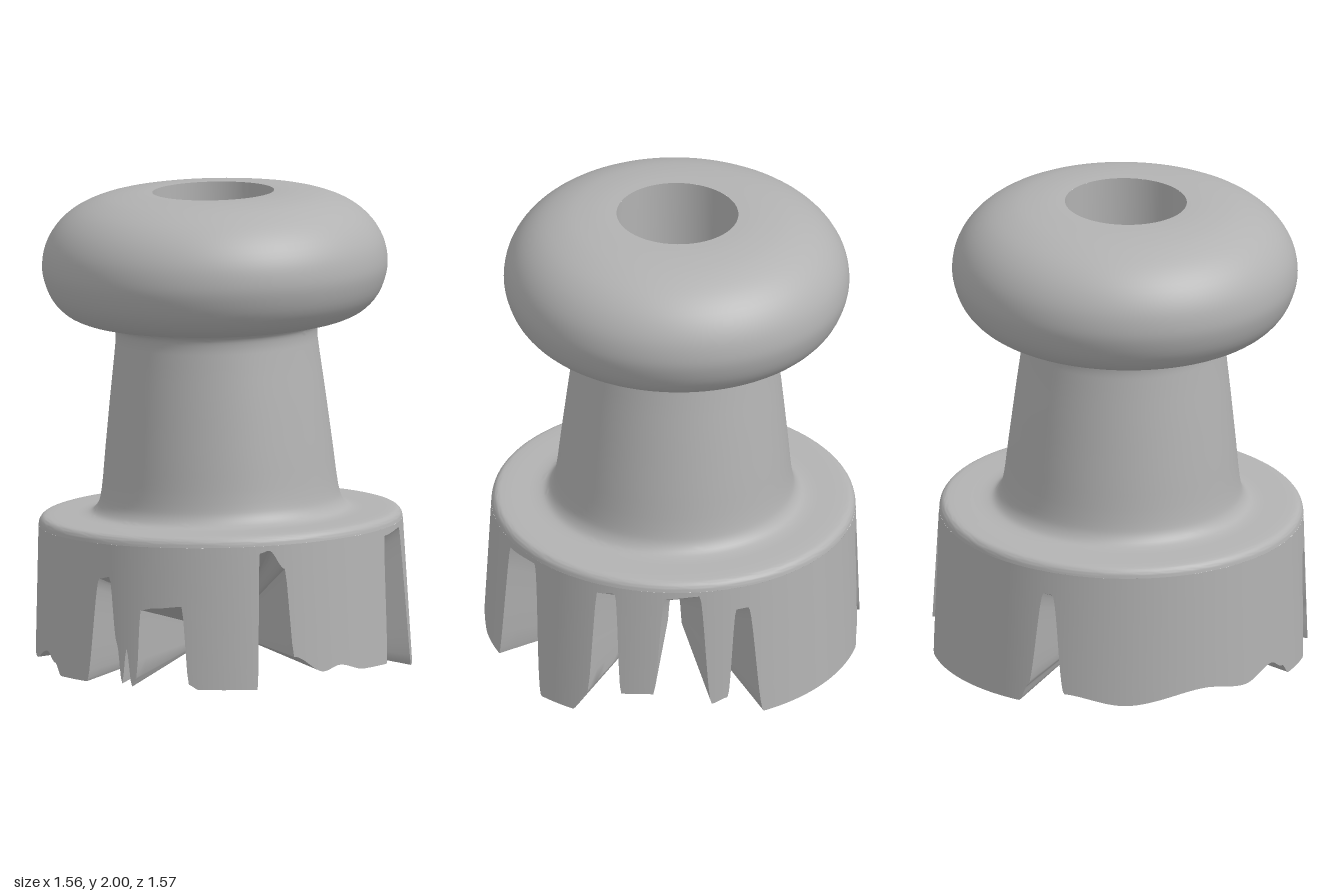
import * as THREE from 'three';
import { toCreasedNormals } from 'three/addons/utils/BufferGeometryUtils.js';

const grey = new THREE.MeshStandardMaterial({ color: 0xb2b2b2 });
grey.name = 'plain grey';

// Height of the toothed lower edge by angle: [degrees from the front towards +x, height]
const EDGE = [
  [0, 0.34], [9, 0.35], [11, 0.02], [14, 0], [32, 0], [34, 0.57], [37, 0.58], [42, 0.5], [44, 0.13],
  [54, 0.06], [60, 0.08], [70, 0.05], [82, 0.05], [85.5, 0.57], [99, 0.58], [105, 0], [117, 0],
  [122, 0.1], [124, 0.56], [130, 0.57], [133, 0.12], [143, 0.13], [146, 0.57], [157, 0.58], [161, 0.08],
  [166, 0.1], [169, 0.5], [173, 0.5], [178, 0], [226, 0], [229, 0.08], [233, 0.5], [236, 0.5],
  [241, 0.06], [260, 0.02], [285, 0.07], [300, 0.04], [312, 0.09], [318, 0.05], [322, 0], [335, 0],
  [340, 0.45], [344, 0.46], [347, 0.18], [349, 0.01], [350.5, 0.16], [352.5, 0], [354, 0.04],
  [355.5, 0.33], [360, 0.34],
];

function edgeHeight(deg) {
  const d = ((deg % 360) + 360) % 360;
  const i = Math.max(1, EDGE.findIndex((e) => e[0] >= d));
  const [a0, h0] = EDGE[i - 1];
  const [a1, h1] = EDGE[i];
  return THREE.MathUtils.lerp(h0, h1, THREE.MathUtils.smoothstep(d, a0, a1));
}

const baseRadius = (y) => 0.788 - 0.043 * y;

// The whole knob leans slightly, while the tooth tips stay on the ground
function lean(geo) {
  const p = geo.attributes.position;
  for (let i = 0; i < p.count; i++) {
    const x = p.getX(i), y = p.getY(i), z = p.getZ(i);
    const f = Math.min(1, Math.max(0, y / 0.6));
    p.setXYZ(i, x - 0.02 * y, y + f * (0.02 * x - 0.01 * z), z + 0.01 * y);
  }
  return geo;
}

function part(name, geo, crease) {
  geo.deleteAttribute('normal');
  geo.deleteAttribute('uv');
  const mesh = new THREE.Mesh(toCreasedNormals(lean(geo), crease), grey);
  mesh.name = name;
  return mesh;
}

const lathe = (pts, n) => new THREE.LatheGeometry(pts.map(([r, y]) => new THREE.Vector2(r, y)), n);

// Base: a lathe whose underside is cut by radial grooves that get shallower inwards
function toothedBase() {
  const RINGS = 8, WALL = 5, SEG = 720, INNER = 0.2;
  const count = 2 + RINGS + 1 + WALL;
  const geo = lathe(Array.from({ length: count }, (_, j) => [0.1 + j * 0.01, j * 0.01]), SEG);
  const p = geo.attributes.position;
  for (let i = 0; i <= SEG; i++) {
    const a = (i / SEG) * Math.PI * 2;
    const h = edgeHeight((i / SEG) * 360);
    const inner = 0.1 + 0.25 * h;
    for (let j = 0; j < count; j++) {
      let r, y;
      if (j < 2) {
        r = j * INNER; // ceiling of the central recess
        y = 0.34;
      } else if (j <= 2 + RINGS) {
        const t = (j - 2) / RINGS; // grooved underside
        r = THREE.MathUtils.lerp(INNER, baseRadius(h), t);
        y = THREE.MathUtils.lerp(inner, h, t);
      } else {
        y = THREE.MathUtils.lerp(h, 0.6, (j - 2 - RINGS) / WALL); // outer wall
        r = baseRadius(y);
      }
      p.setXYZ(i * count + j, r * Math.sin(a), y, r * Math.cos(a));
    }
  }
  return geo;
}

export function createModel() {
  const g = new THREE.Group();
  g.name = 'knob';

  g.add(part('toothedBase', toothedBase(), 0.7));

  // Shoulder, neck and rounded head as one smooth profile
  const profile = [
    [0.762, 0.6], [0.757, 0.62], [0.742, 0.636], [0.715, 0.641], [0.64, 0.643], [0.57, 0.645],
    [0.535, 0.655], [0.51, 0.685], [0.497, 0.73], [0.475, 0.92], [0.45, 1.14], [0.426, 1.34],
    [0.422, 1.39], [0.428, 1.425], [0.45, 1.444], [0.5, 1.45], [0.565, 1.463], [0.63, 1.495],
    [0.685, 1.555], [0.718, 1.64], [0.723, 1.7], [0.707, 1.78], [0.66, 1.86], [0.585, 1.925],
    [0.48, 1.97], [0.38, 1.988], [0.31, 1.993], [0.255, 1.993],
  ];
  const curve = new THREE.CatmullRomCurve3(profile.map(([r, y]) => new THREE.Vector3(r, y, 0)));
  const smooth = curve.getPoints(90).map((v) => [v.x, v.y]);
  g.add(part('neckAndHead', lathe(smooth, 128), 0.9));

  // Blind hole in the top
  g.add(part('topHole', lathe([[0.255, 1.993], [0.255, 1.0], [0, 1.0]], 96), 0.5));

  return g;
}
